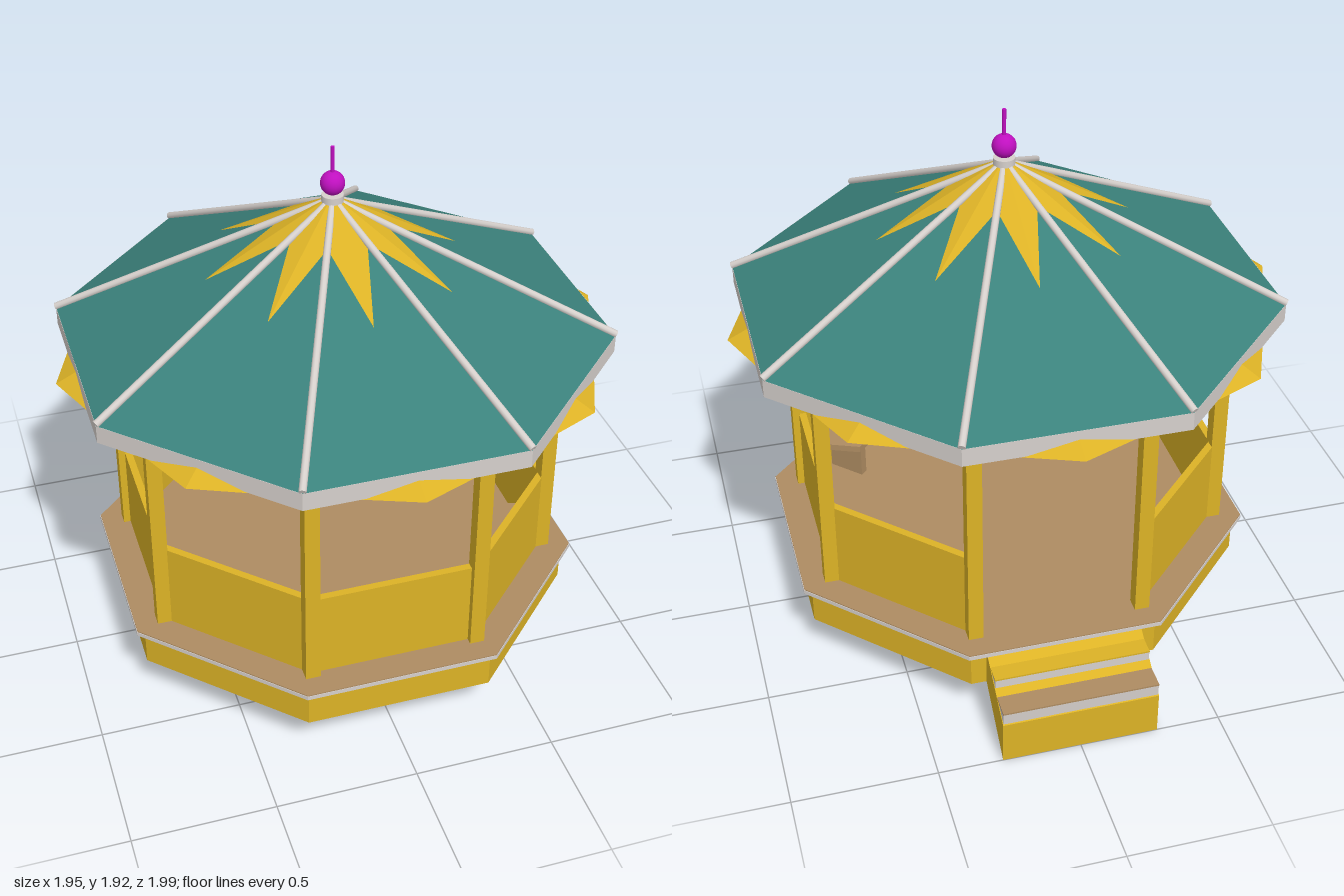
import * as THREE from 'three';

const T = Math.tan(Math.PI / 8);
const paint = (name, color) => Object.assign(new THREE.MeshStandardMaterial({ color }), { name });

export function createModel() {
  const gold = paint('gold paint', 0xdcb226);
  const tan = paint('tan boards', 0xae8c62);
  const teal = paint('teal roofing', 0x3b827c);
  const white = paint('pale trim', 0xd6d0cc);
  const magenta = paint('magenta finial', 0xc010c0);

  const model = new THREE.Group();
  model.name = 'gazebo';
  const body = new THREE.Group();
  body.name = 'pavilion';
  body.position.z = 0.015;
  model.add(body);

  const add = (parent, name, geo, mat, x = 0, y = 0, z = 0) => {
    const m = new THREE.Mesh(geo, mat);
    m.name = name;
    m.position.set(x, y, z);
    parent.add(m);
    return m;
  };
  const faceted = (geo) => {
    const g = geo.index ? geo.toNonIndexed() : geo;
    g.computeVertexNormals();
    return g;
  };
  // Eight-sided prism or pyramid, sized by the distance to its flat sides
  const octagon = (name, mat, top, bottom, y0, y1) => {
    const c = Math.cos(Math.PI / 8);
    const g = new THREE.CylinderGeometry(top / c, bottom / c, y1 - y0, 8);
    g.rotateY(Math.PI / 8);
    return add(body, name, faceted(g), mat, 0, (y0 + y1) / 2);
  };
  const extrude = (points, depth) => new THREE.ExtrudeGeometry(
    new THREE.Shape(points.map(([x, y]) => new THREE.Vector2(x, y))), { depth, bevelEnabled: false });

  // Eight-pointed ridged star, optionally closed underneath
  const star = (name, tipR, tipY, valleyR, valleyY, apexY, closed) => {
    const rim = (i) => {
      const a = i * Math.PI / 8, r = i % 2 ? valleyR : tipR;
      return [r * Math.sin(a), i % 2 ? valleyY : tipY, r * Math.cos(a)];
    };
    const pos = [];
    for (let i = 0; i < 16; i++) {
      pos.push(0, apexY, 0, ...rim(i), ...rim(i + 1));
      if (closed) pos.push(0, tipY, 0, ...rim(i + 1), ...rim(i));
    }
    const g = new THREE.BufferGeometry();
    g.setAttribute('position', new THREE.Float32BufferAttribute(pos, 3));
    g.computeVertexNormals();
    add(body, name, g, gold);
  };

  // Base and floor
  octagon('base', gold, 0.795, 0.795, 0.16, 0.3);
  octagon('floorTrim', white, 0.825, 0.825, 0.298, 0.313);
  octagon('floor', tan, 0.823, 0.823, 0.312, 0.317);

  // Roof
  octagon('fascia', white, 0.905, 0.905, 1.18, 1.245);
  octagon('roof', teal, 0, 0.904, 1.245, 1.72);
  star('eaveStar', 0.975, 1.178, 0.909, 1.178, 1.655, true);
  star('roofStar', 0.447, 1.491, 0.18, 1.636, 1.742, false);

  // Cap and finial
  add(body, 'cap', new THREE.CylinderGeometry(0.038, 0.038, 0.04, 20), white, 0, 1.725);
  add(body, 'finialBall', new THREE.SphereGeometry(0.042, 24, 16), magenta, 0, 1.787);
  add(body, 'finialRod', new THREE.CylinderGeometry(0.007, 0.007, 0.11, 10), magenta, 0, 1.865);

  const bracketGeo = extrude([[0, 0], [0, -0.115], [0.145, 0]], 0.03);
  const seatGeo = extrude([[-0.69 * T, 0.69], [-0.51 * T, 0.51], [0.51 * T, 0.51], [0.69 * T, 0.69]], 0.025);
  seatGeo.rotateX(Math.PI / 2);

  for (let k = 0; k < 8; k++) {
    const side = new THREE.Group();
    side.name = 'side' + k;
    side.rotation.y = k * Math.PI / 4;
    body.add(side);

    // Brackets under the eave at both ends of the side
    for (const s of [-1, 1]) {
      const b = add(side, 'bracket', bracketGeo, white, s * 0.298, 1.179, s > 0 ? 0.735 : 0.705);
      if (s > 0) b.rotation.y = Math.PI;
    }
    // Low wall on every side but the entrance at the back
    if (k !== 4) add(side, 'wallPanel', new THREE.BoxGeometry(0.595, 0.325, 0.026), gold, 0, 0.4775, 0.708);

    // Benches along the three front walls
    if (k === 0 || k === 1 || k === 7) {
      add(side, 'benchSeat', seatGeo, tan, 0, 0.49, 0);
      for (const x of [-0.15, 0.15])
        add(side, 'benchLeg', new THREE.BoxGeometry(0.03, 0.15, 0.14), tan, x, 0.391, 0.61);
    }

    // Post and roof rib at the corner
    const a = (k + 0.5) * Math.PI / 4;
    add(body, 'post', new THREE.BoxGeometry(0.052, 0.865, 0.052), gold,
      0.779 * Math.sin(a), 0.7465, 0.779 * Math.cos(a));
    const corner = new THREE.Group();
    corner.name = 'ribCorner' + k;
    corner.rotation.y = a;
    body.add(corner);
    const dz = 0.95, dy = -0.461;
    const rib = add(corner, 'roofRib', new THREE.CylinderGeometry(0.013, 0.013, Math.hypot(dz, dy), 10),
      white, 0, 1.482, 0.505);
    rib.rotation.x = Math.atan2(dz, dy);
  }

  // Stairs at the back: sloped body, stepped risers, tread boards
  const stairs = new THREE.Group();
  stairs.name = 'stairs';
  model.add(stairs);
  const stairPart = (name, points, width, mat) => {
    const g = extrude(points, width);
    g.rotateY(Math.PI / 2);
    add(stairs, name, g, mat, -width / 2);
  };
  stairPart('stairBody', [[0.775, 0.16], [1, 0], [1, 0.16], [0.775, 0.3]], 0.55, gold);
  stairPart('stairRisers', [[0.78, 0.2], [0.995, 0.14], [0.998, 0.207], [0.89, 0.207], [0.89, 0.262], [0.78, 0.262]], 0.546, white);
  add(stairs, 'lowerTread', new THREE.BoxGeometry(0.548, 0.006, 0.108), tan, 0, 0.209, -0.945);
  add(stairs, 'upperTread', new THREE.BoxGeometry(0.548, 0.006, 0.108), gold, 0, 0.264, -0.837);

  return model;
}
